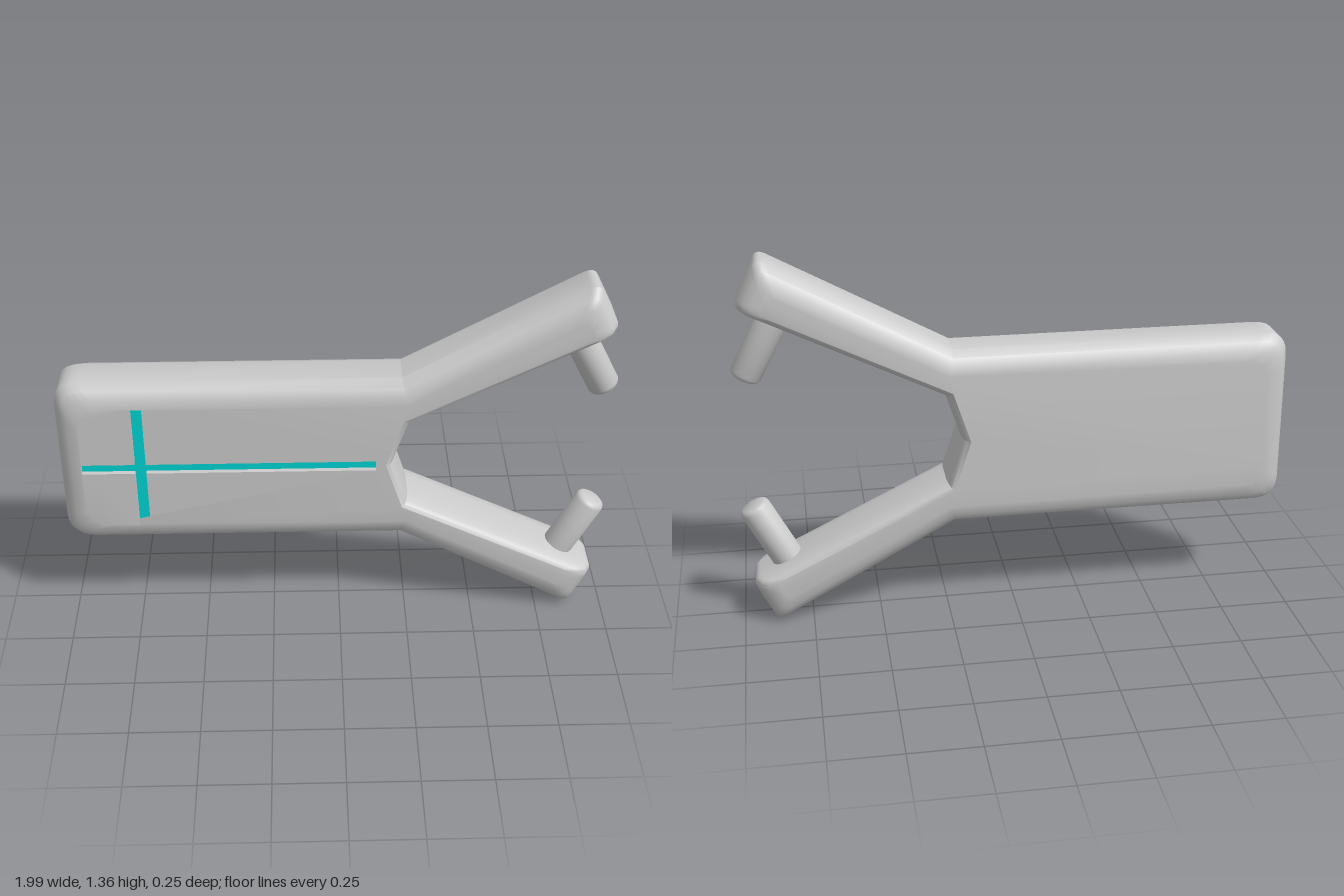
import * as THREE from 'three';
import { mergeGeometries, toCreasedNormals } from 'three/addons/utils/BufferGeometryUtils.js';

const MID = 0.678;    // height of the symmetry line
const HALF = 0.125;   // half thickness
const GROOVE = 0.018; // depth of the cross groove

// Upper half of the outline: x, y, corner rounding, bevel share of the edge that follows
const UPPER = [
  [0.195, MID, 0, 0.35],
  [0.25, 0.845, 0, 0.35],
  [0.965, 1.195, 0.035, 1],
  [0.878, 1.367, 0.035, 1],
  [0.22, 1.008, 0, 1],
  [-1, 1.008, 0.09, 1],
];
// Mirror to the lower half, keeping counter-clockwise order
const OUTLINE = [...UPPER];
for (let i = UPPER.length - 1; i > 0; i--) {
  const [x, y, r] = UPPER[i];
  OUTLINE.push([x, 2 * MID - y, r, UPPER[i - 1][3]]);
}

// Outline moved inward by the bevel inset, then with its corners rounded
function insetLoop(inset) {
  const n = OUTLINE.length;
  const normal = (i) => {
    const a = OUTLINE[i], b = OUTLINE[(i + 1) % n];
    return new THREE.Vector2(a[1] - b[1], b[0] - a[0]).normalize();
  };
  const corners = OUTLINE.map(([x, y], i) => {
    const prev = (i + n - 1) % n;
    const n1 = normal(prev), n2 = normal(i);
    const d1 = inset * OUTLINE[prev][3], d2 = inset * OUTLINE[i][3];
    const det = n1.x * n2.y - n1.y * n2.x;
    return new THREE.Vector2(x + (d1 * n2.y - d2 * n1.y) / det, y + (n1.x * d2 - n2.x * d1) / det);
  });
  return corners.flatMap((p, i) => {
    const r = OUTLINE[i][2];
    if (!r) return [p];
    const toward = (q) => q.clone().sub(p).setLength(r).add(p);
    const from = toward(corners[(i + n - 1) % n]), to = toward(corners[(i + 1) % n]);
    return new THREE.QuadraticBezierCurve(from, p, to).getPoints(6);
  });
}

// Surface between successive loops, each given as { z, points }
function loft(loops) {
  const pos = [];
  for (let k = 0; k + 1 < loops.length; k++) {
    const lo = loops[k], hi = loops[k + 1], n = lo.points.length;
    for (let i = 0; i < n; i++) {
      const j = (i + 1) % n;
      const a = [lo.points[i].x, lo.points[i].y, lo.z], b = [lo.points[j].x, lo.points[j].y, lo.z];
      const c = [hi.points[j].x, hi.points[j].y, hi.z], d = [hi.points[i].x, hi.points[i].y, hi.z];
      pos.push(...a, ...b, ...c, ...a, ...c, ...d);
    }
  }
  return new THREE.BufferGeometry().setAttribute('position', new THREE.Float32BufferAttribute(pos, 3));
}

// Flat face over a loop, facing +z or (flipped) -z
function cap(points, z, hole, flip) {
  const shape = new THREE.Shape(points);
  if (hole) shape.holes.push(new THREE.Path(hole));
  const g = new THREE.ShapeGeometry(shape);
  if (flip) g.setIndex([...g.index.array].reverse());
  const flat = g.toNonIndexed().translate(0, 0, z);
  flat.deleteAttribute('uv');
  flat.deleteAttribute('normal');
  return flat;
}

export function createModel() {
  const model = new THREE.Group();
  const grey = new THREE.MeshStandardMaterial({ color: 0xcccccc });
  const cyan = new THREE.MeshStandardMaterial({ color: 0x00d5d5 });
  const add = (name, geometry, material) => {
    const mesh = new THREE.Mesh(geometry, material);
    mesh.name = name;
    model.add(mesh);
    return mesh;
  };

  // Cross-shaped groove outline, counter-clockwise
  const [x0, x1, x2, x3] = [-0.92, -0.73, -0.69, 0.13];
  const [y0, y1, y2, y3] = [MID - 0.25, MID - 0.019, MID + 0.019, MID + 0.25];
  const cross = [
    [x1, y0], [x2, y0], [x2, y1], [x3, y1], [x3, y2], [x2, y2],
    [x2, y3], [x1, y3], [x1, y2], [x0, y2], [x0, y1], [x1, y1],
  ].map(([x, y]) => new THREE.Vector2(x, y));
  const crossHole = [...cross].reverse();

  // Forked body with bevelled edges: inset and distance from the mid plane
  const bevel = [[0, 0.06], [0.02, 0.1], [0.045, 0.117], [0.08, HALF]];
  const front = bevel.map(([inset, z]) => ({ z, points: insetLoop(inset) }));
  const back = front.map(({ z, points }) => ({ z: -z, points })).reverse();
  const face = front[front.length - 1].points;
  const body = mergeGeometries([
    loft([...back, ...front]),
    cap(face, HALF, crossHole, false),
    cap(face, -HALF, null, true),
    loft([{ z: HALF - GROOVE, points: crossHole }, { z: HALF, points: crossHole }]),
  ]);
  add('forkedBody', toCreasedNormals(body, 0.55), grey);

  // Coloured floor of the groove
  const floor = cap(cross, HALF - GROOVE, null, false);
  floor.computeVertexNormals();
  add('crossInlay', floor, cyan);

  // Round pins pointing inward from the arm tips
  const pinProfile = [[0.057, 0], [0.057, 0.25], [0.052, 0.262], [0.042, 0.268], [0, 0.268]]
    .map(([r, y]) => new THREE.Vector2(r, y));
  const pinGeometry = toCreasedNormals(new THREE.LatheGeometry(pinProfile, 32), 0.7);
  for (const side of [1, -1]) {
    const pin = add(side > 0 ? 'upperPin' : 'lowerPin', pinGeometry, grey);
    pin.position.set(0.822, MID + side * 0.482, 0);
    const axis = new THREE.Vector3(0.465, -side * 0.885, 0).normalize();
    pin.quaternion.setFromUnitVectors(new THREE.Vector3(0, 1, 0), axis);
  }
  return model;
}
